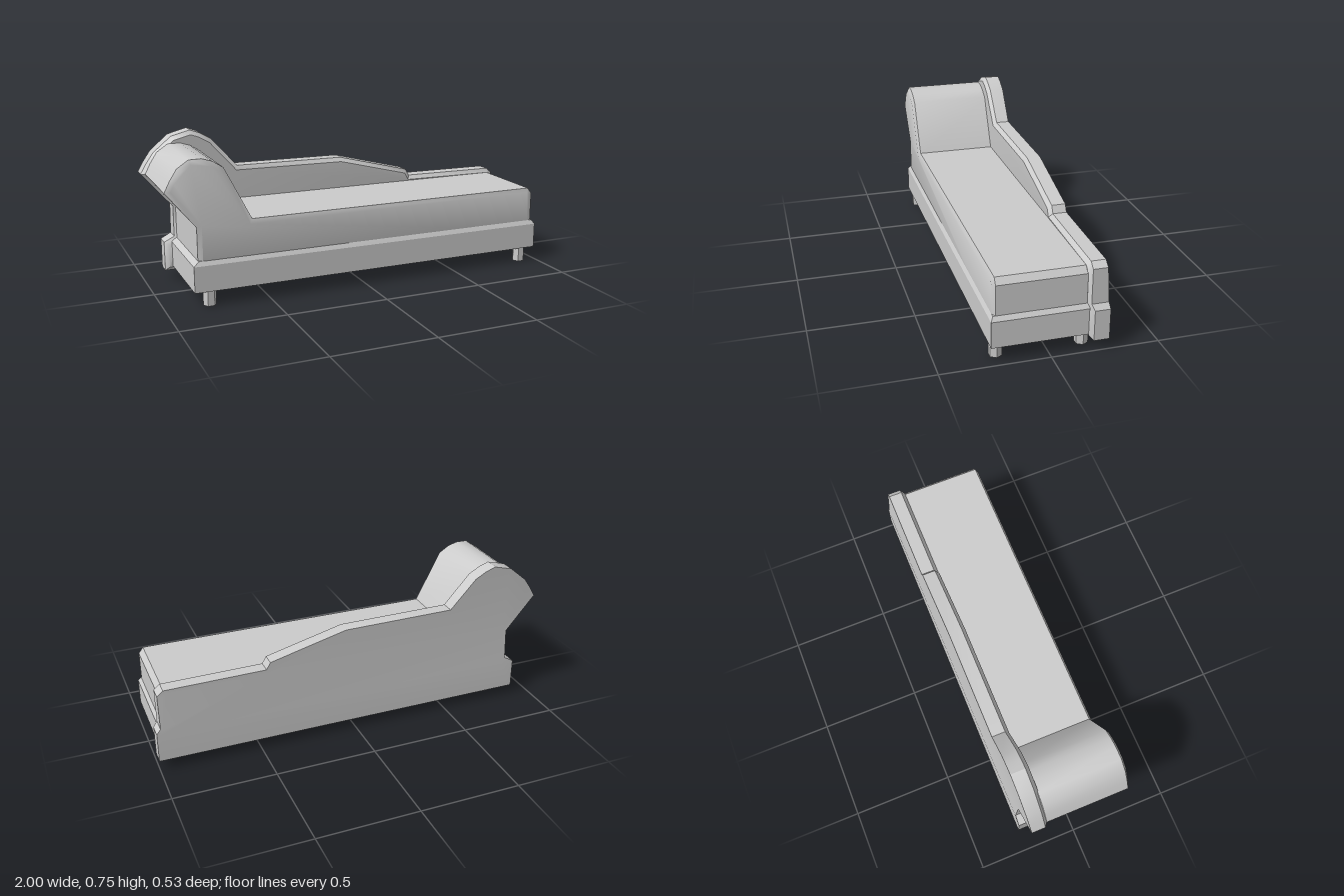
import * as THREE from 'three';
import { toCreasedNormals } from 'three/addons/utils/BufferGeometryUtils.js';

const material = new THREE.MeshStandardMaterial({ color: 0xcccccc });

// Upright slab between two z planes, with its edges chamfered inside the outline
function chamferedSlab(points, zBack, zFront, inset, thickness) {
  const shape = new THREE.Shape(points.map(([x, y]) => new THREE.Vector2(x, y)));
  const geometry = new THREE.ExtrudeGeometry(shape, {
    depth: zFront - zBack - 2 * thickness,
    bevelEnabled: true,
    bevelSegments: 1,
    bevelSize: inset,
    bevelOffset: -inset,
    bevelThickness: thickness,
  });
  return geometry.translate(0, 0, zBack + thickness);
}

// Rear face of the back panel: thick at the foot, thinner higher up
function backDepth(y) {
  if (y < 0.4) return THREE.MathUtils.mapLinear(Math.max(y, 0.2), 0.2, 0.4, -0.265, -0.251);
  return THREE.MathUtils.mapLinear(Math.max(y, 0.56), 0.56, 0.755, -0.251, -0.257);
}

export function createModel() {
  const group = new THREE.Group();
  const add = (name, geometry) => {
    const mesh = new THREE.Mesh(geometry, material);
    mesh.name = name;
    group.add(mesh);
    return mesh;
  };

  // Plinth whose top edge slopes in to meet the seat
  const base = new THREE.BoxGeometry(1.845, 0.147, 0.455, 1, 2, 1).toNonIndexed();
  base.translate(0.0575, 0.1485, 0.0375);
  const bp = base.attributes.position;
  for (let i = 0; i < bp.count; i++) {
    const y = bp.getY(i);
    if (y > 0.22) {
      bp.setX(i, bp.getX(i) > 0 ? 0.965 : -0.84);
      bp.setZ(i, bp.getZ(i) > 0 ? 0.254 : -0.18);
    } else if (y > 0.1) bp.setY(i, 0.201);
  }
  base.computeVertexNormals();
  add('base', base);

  // Seat and rolled headrest share one side profile
  const body = chamferedSlab([
    [-0.84, 0.15], [0.965, 0.15], [0.965, 0.365], [0.942, 0.395], [-0.575, 0.395],
    [-0.705, 0.65], [-0.755, 0.682], [-0.805, 0.698], [-0.865, 0.697],
    [-0.92, 0.66], [-0.955, 0.605], [-0.98, 0.555], [-0.84, 0.38],
  ], -0.18, 0.254, 0.022, 0.012);
  add('seatAndHeadrest', toCreasedNormals(body, 0.6));

  // Stepped back panel, chamfered towards the seat and plain behind
  const panel = chamferedSlab([
    [-0.9, 0.05], [1, 0.05], [1, 0.197], [0.98, 0.222], [0.98, 0.39], [0.95, 0.415],
    [0.455, 0.42], [0.435, 0.455], [0.05, 0.553], [-0.515, 0.558], [-0.645, 0.705],
    [-0.7, 0.737], [-0.75, 0.755], [-0.845, 0.73], [-0.935, 0.655], [-0.97, 0.605],
    [-1, 0.555], [-0.85, 0.38], [-0.85, 0.225], [-0.9, 0.197],
  ], -0.255, -0.165, 0.02, 0.018);
  const pp = panel.attributes.position;
  for (let i = 0; i < pp.count; i++) {
    const y = pp.getY(i);
    if (pp.getZ(i) < -0.21) pp.setZ(i, backDepth(y));
    else if (y < 0.2) pp.setZ(i, pp.getZ(i) - 0.01);
  }
  add('backPanel', toCreasedNormals(panel, 0.6));

  // Four short hexagonal legs
  const leg = new THREE.CylinderGeometry(0.032, 0.032, 0.08, 6).rotateY(Math.PI / 6);
  const legGeometry = toCreasedNormals(leg, 0.5);
  for (const [xName, x] of [['Right', -0.787], ['Left', 0.91]]) {
    for (const [zName, z] of [['front', 0.228], ['back', -0.167]]) {
      add(`${zName}${xName}Leg`, legGeometry).position.set(x, 0.04, z);
    }
  }

  return group;
}
